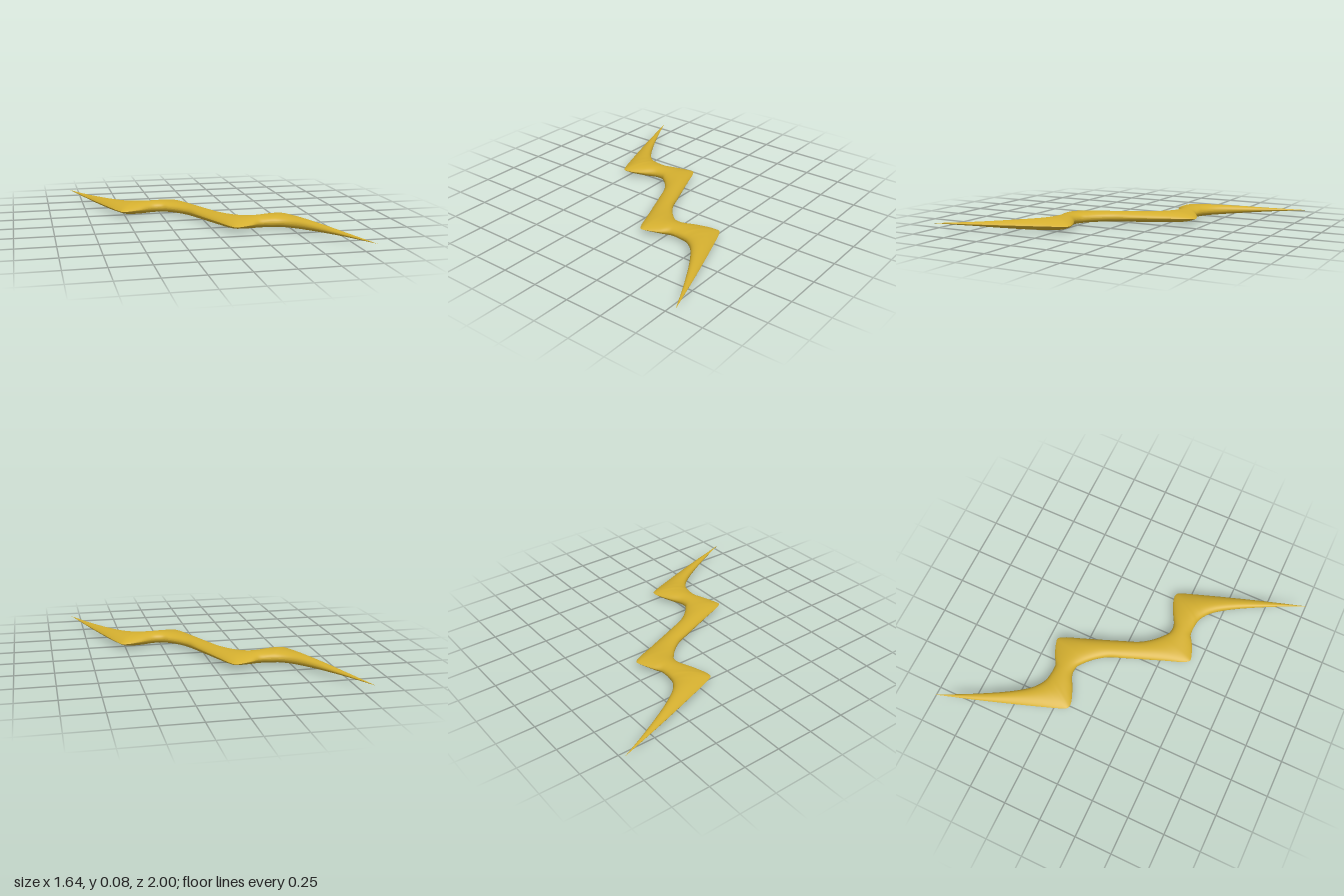
import * as THREE from 'three';

// Cross-sections from the tip to the middle of the bolt:
// [edge A x, z, edge B x, z, half thickness, roundness at A, roundness at B]
// (a low roundness exponent gives a blunt edge, a high one a thin edge)
const HALF = [
  [-0.82, -1.0, -0.82, -1.0, 0, 0.6, 0.7],
  [-0.71, -0.777, -0.734, -0.73, 0.012, 0.55, 0.7],
  [-0.58, -0.544, -0.66, -0.51, 0.027, 0.5, 0.75],
  [-0.5, -0.435, -0.59, -0.31, 0.036, 0.45, 0.8],
  [-0.44, -0.388, -0.548, -0.198, 0.04, 0.45, 0.85],
  [-0.4, -0.372, -0.525, -0.158, 0.041, 0.45, 0.85],
  [-0.355, -0.366, -0.49, -0.154, 0.041, 0.45, 0.8],
  [-0.33, -0.365, -0.4, -0.187, 0.041, 0.5, 0.65],
  [-0.29, -0.368, -0.3, -0.235, 0.04, 0.55, 0.5],
  [-0.235, -0.4, -0.24, -0.23, 0.039, 0.65, 0.45],
  [-0.15, -0.434, -0.2, -0.2, 0.038, 0.8, 0.45],
  [-0.118, -0.438, -0.177, -0.18, 0.038, 0.85, 0.45],
  [-0.093, -0.406, -0.14, -0.14, 0.037, 0.8, 0.45],
  [-0.04, -0.27, -0.093, -0.07, 0.036, 0.7, 0.5],
];
const MIDDLE = [0.053, -0.03, -0.053, 0.03, 0.035, 0.55, 0.55];
const MID_Y = 0.042;

// Half a turn about the vertical axis swaps the two edges
const turned = ([ax, az, bx, bz, h, p, q]) => [-bx, -bz, -ax, -az, h, q, p];

// One face of the bolt: side = 1 for the upper, -1 for the lower
function boltFace(side, edgeA, edgeB, profile, rows, cols) {
  const positions = [];
  const index = [];
  for (let i = 0; i <= rows; i++) {
    const u = i / rows;
    const a = edgeA.getPoint(u);
    const b = edgeB.getPoint(u);
    const { x: h, y: p, z: q } = profile.getPoint(u);
    const ridge = p / (p + q);
    const peak = ridge ** p * (1 - ridge) ** q;
    for (let j = 0; j <= cols; j++) {
      const s = (1 - Math.cos((Math.PI * j) / cols)) / 2;
      const bulge = j === 0 || j === cols ? 0 : (s ** p * (1 - s) ** q) / peak;
      positions.push(
        a.x + (b.x - a.x) * s,
        MID_Y + side * Math.max(h, 0) * bulge,
        a.z + (b.z - a.z) * s
      );
      if (i < rows && j < cols) {
        const k = i * (cols + 1) + j;
        const n = k + cols + 1;
        if (side > 0) index.push(k, k + 1, n, k + 1, n + 1, n);
        else index.push(k, n, k + 1, k + 1, n, n + 1);
      }
    }
  }
  const geometry = new THREE.BufferGeometry();
  geometry.setAttribute('position', new THREE.Float32BufferAttribute(positions, 3));
  geometry.setIndex(index);
  geometry.computeVertexNormals();
  return geometry;
}

export function createModel() {
  const group = new THREE.Group();
  group.name = 'lightningBolt';

  const sections = [...HALF, MIDDLE, ...HALF.map(turned).reverse()];
  const curve = (pick) => new THREE.CatmullRomCurve3(sections.map(pick));
  const edgeA = curve((s) => new THREE.Vector3(s[0], 0, s[1]));
  const edgeB = curve((s) => new THREE.Vector3(s[2], 0, s[3]));
  const profile = curve((s) => new THREE.Vector3(s[4], s[5], s[6]));

  const gold = new THREE.MeshStandardMaterial({ color: 0xd4af2f });
  const rows = (sections.length - 1) * 6;
  for (const [name, side] of [['upperFace', 1], ['lowerFace', -1]]) {
    const mesh = new THREE.Mesh(boltFace(side, edgeA, edgeB, profile, rows, 24), gold);
    mesh.name = name;
    group.add(mesh);
  }
  return group;
}
